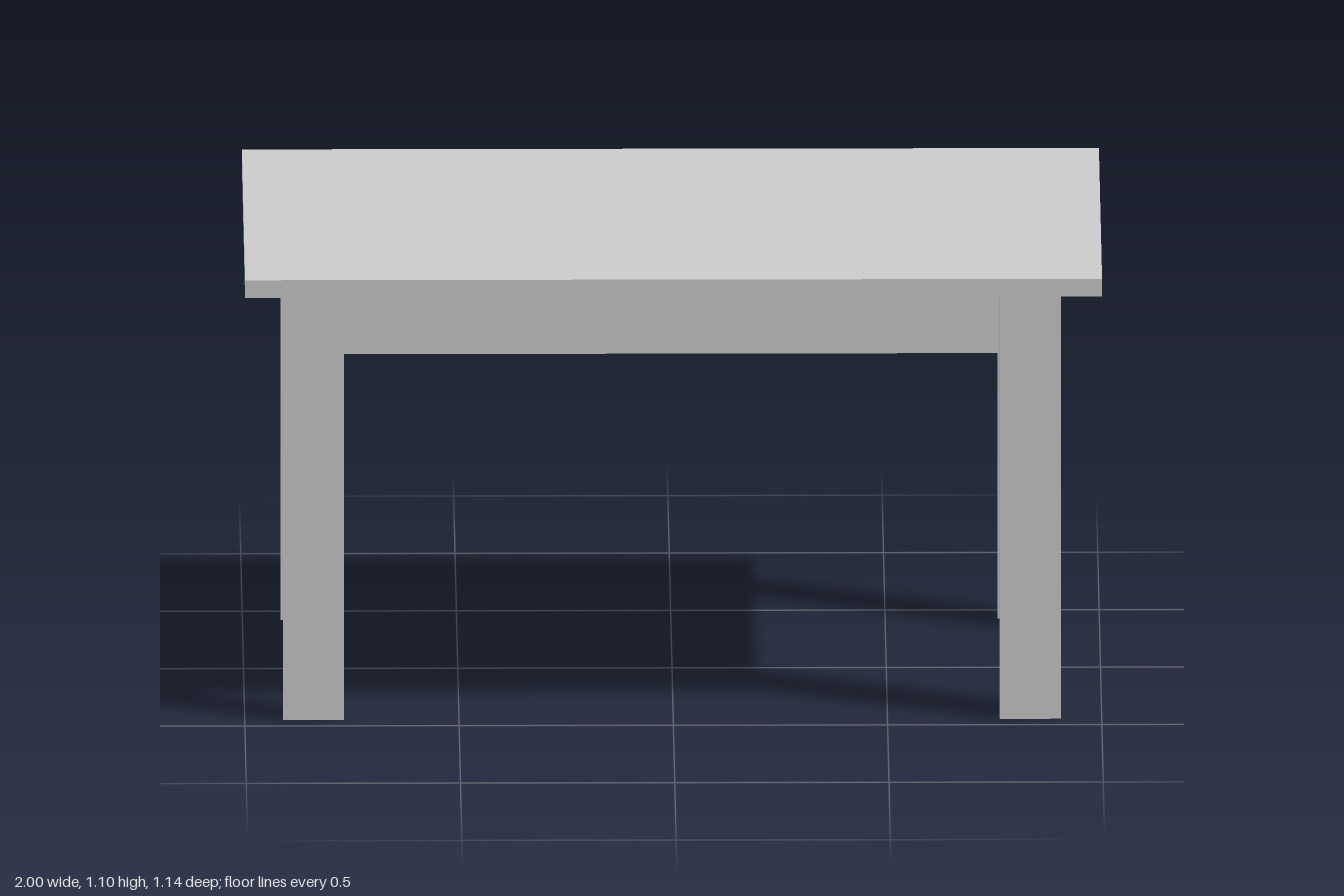
import * as THREE from 'three';

const material = new THREE.MeshStandardMaterial({ color: 0xcccccc, flatShading: true });

// Box given by its min and max on each axis
function board(name, [x0, x1], [y0, y1], [z0, z1]) {
  const mesh = new THREE.Mesh(new THREE.BoxGeometry(x1 - x0, y1 - y0, z1 - z0), material);
  mesh.position.set((x0 + x1) / 2, (y0 + y1) / 2, (z0 + z1) / 2);
  mesh.name = name;
  return mesh;
}

// Same range on the positive or negative side
const mirror = (s, a, b) => (s > 0 ? [a, b] : [-b, -a]);

export function createModel() {
  const table = new THREE.Group();
  table.name = 'table';

  const T = 0.025;            // board thickness
  const under = 1.056;        // underside of the top
  const legX = 0.908;         // outer edge of the legs
  const legZ = 0.449;
  const sideX = legX - 0.026; // outer face of the legs' side boards
  const frameX = sideX - T;   // outer faces of the apron frame
  const frameZ = legZ - T;

  table.add(board('tableTop', [-1, 1], [under, 1.099], [-0.57, 0.57]));

  const base = new THREE.Group();
  base.name = 'base';
  base.position.x = -0.003;
  table.add(base);

  // Legs: a wide face board with a side board set at right angles behind it
  for (const sx of [-1, 1]) {
    for (const sz of [-1, 1]) {
      const leg = new THREE.Group();
      leg.name = (sz > 0 ? 'front' : 'back') + (sx > 0 ? 'Left' : 'Right') + 'Leg';
      leg.add(
        board('legFaceBoard', mirror(sx, 0.765, legX), [0, under], mirror(sz, frameZ, legZ)),
        board('legSideBoard', mirror(sx, frameX, sideX), [0, under], mirror(sz, 0.329, frameZ))
      );
      base.add(leg);
    }
  }

  // Apron frame inside the legs
  const apronY = [0.879, under];
  for (const s of [-1, 1]) {
    base.add(
      board(s > 0 ? 'frontApron' : 'backApron', [-frameX, frameX], apronY, mirror(s, frameZ - T, frameZ)),
      board(s > 0 ? 'leftApron' : 'rightApron', mirror(s, frameX - T, frameX), apronY, [T - frameZ, frameZ - T])
    );
  }

  return table;
}
